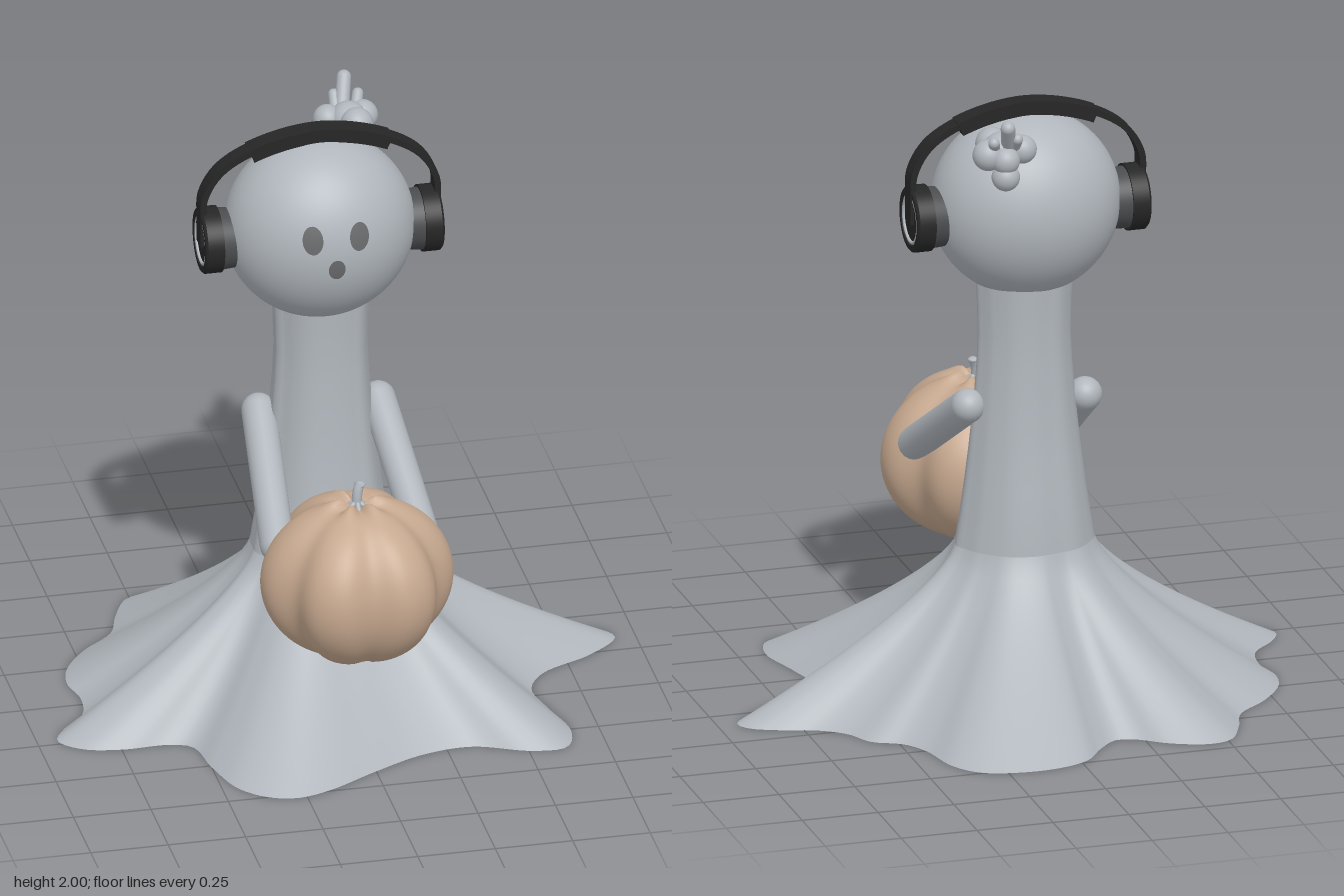
import * as THREE from 'three';

const mat = (name, color, side = THREE.FrontSide) => {
  const m = new THREE.MeshStandardMaterial({ color, side });
  m.name = name;
  return m;
};

// Hem of the skirt as x, z pairs
const HEM = [
  0.935, -0.085, 0.83, 0.015, 0.66, 0.105, 0.60, 0.205, 0.62, 0.33, 0.66, 0.51, 0.62, 0.62, 0.51, 0.62,
  0.33, 0.55, 0.17, 0.57, 0.0, 0.65, -0.17, 0.745, -0.28, 0.775, -0.37, 0.75, -0.45, 0.67, -0.50, 0.51,
  -0.53, 0.36, -0.60, 0.33, -0.75, 0.33, -0.87, 0.30, -0.935, 0.23, -0.90, 0.155, -0.82, 0.07, -0.80, -0.045,
  -0.82, -0.145, -0.80, -0.245, -0.72, -0.36, -0.61, -0.46, -0.57, -0.57, -0.51, -0.68, -0.44, -0.70, -0.32, -0.66,
  -0.22, -0.59, -0.16, -0.58, -0.095, -0.64, -0.02, -0.735, 0.08, -0.775, 0.205, -0.78, 0.33, -0.745, 0.40, -0.66,
  0.44, -0.50, 0.49, -0.42, 0.58, -0.37, 0.63, -0.28, 0.71, -0.22, 0.83, -0.18, 0.915, -0.135,
];

const CX = -0.04; // head axis
const HEAD = { y: 1.62, rx: 0.304, ry: 0.302, rz: 0.262 };

// Closed rings (arrays of Vector3), bottom to top, joined into a skin
function loft(rings) {
  const n = rings[0].length, idx = [];
  for (let r = 0; r < rings.length - 1; r++) {
    for (let i = 0; i < n; i++) {
      const a = r * n + i, b = r * n + (i + 1) % n;
      idx.push(a, a + n, b, b, a + n, b + n);
    }
  }
  const g = new THREE.BufferGeometry().setFromPoints(rings.flat());
  g.setIndex(idx);
  g.computeVertexNormals();
  return g;
}

export function createModel() {
  const group = new THREE.Group();
  const cloth = mat('pale grey', 0xb0b6bc, THREE.DoubleSide);
  const skin = mat('orange tan', 0xc6a88f);
  const black = mat('black', 0x262626);
  const cushionGrey = mat('cushion grey', 0x4a4c4e);
  const faceGrey = mat('face grey', 0x68696b);

  const add = (name, geometry, material, x = 0, y = 0, z = 0, parent = group) => {
    const m = new THREE.Mesh(geometry, material);
    m.name = name;
    m.position.set(x, y, z);
    parent.add(m);
    return m;
  };
  const rod = (name, a, b, r, material, parent = group) => {
    const p = new THREE.Vector3(...a), q = new THREE.Vector3(...b), d = q.clone().sub(p);
    const m = add(name, new THREE.CapsuleGeometry(r, d.length(), 8, 20), material, 0, 0, 0, parent);
    m.position.copy(p).add(q).multiplyScalar(0.5);
    m.quaternion.setFromUnitVectors(new THREE.Vector3(0, 1, 0), d.normalize());
  };

  // Skirt: waist ring flaring out to the wavy hem
  const hemPoints = [];
  for (let i = 0; i < HEM.length; i += 2) hemPoints.push(new THREE.Vector3(HEM[i], 0, HEM[i + 1]));
  const hem = new THREE.CatmullRomCurve3(hemPoints, true).getSpacedPoints(220).slice(0, -1);
  const bodyRing = (y, rx, rz) => hem.map((p) => {
    const a = Math.atan2(p.z, p.x);
    const k = 1 + 0.12 * (Math.hypot(p.x, p.z) / 0.74 - 1);
    return new THREE.Vector3(-0.032 + rx * k * Math.cos(a), y, -0.01 + rz * k * Math.sin(a));
  });
  const waist = bodyRing(0.5, 0.222, 0.192);
  const skirtRings = [];
  for (let j = 0; j <= 16; j++) {
    const y = 0.5 * j / 16, t = Math.pow(1 - j / 16, 1.38);
    skirtRings.push(hem.map((p, i) => {
      const v = waist[i].clone().lerp(p, t);
      v.y = y;
      return v;
    }));
  }
  add('skirt', loft(skirtRings), cloth);

  // Flat underside of the skirt
  const under = new THREE.BufferGeometry().setFromPoints([new THREE.Vector3(), ...hem]);
  under.setIndex(hem.flatMap((_, i) => [0, i + 1, (i + 1) % hem.length + 1]));
  under.computeVertexNormals();
  add('skirtUnderside', under, cloth);

  // Body column up to the neck
  const column = [[0.5, 0.222, 0.192], [0.6, 0.206, 0.183], [0.7, 0.192, 0.169], [0.8, 0.18, 0.155],
    [0.9, 0.169, 0.144], [1, 0.16, 0.136], [1.1, 0.152, 0.129], [1.2, 0.148, 0.125], [1.3, 0.151, 0.126], [1.38, 0.155, 0.128]];
  add('body', loft(column.map((c) => bodyRing(...c))), cloth);

  // Head and face
  add('head', new THREE.SphereGeometry(1, 64, 48), cloth, CX, HEAD.y, 0).scale.set(HEAD.rx, HEAD.ry, HEAD.rz);
  const facePatch = (name, x, y, w, h) => {
    const g = new THREE.RingGeometry(0.001, 1, 28, 4), p = g.attributes.position;
    for (let i = 0; i < p.count; i++) {
      const u = x + p.getX(i) * w, v = y + p.getY(i) * h;
      const s = 1 - (u / HEAD.rx) ** 2 - (v / HEAD.ry) ** 2;
      p.setXYZ(i, u, v, HEAD.rz * Math.sqrt(s) + 0.005);
    }
    g.computeVertexNormals();
    add(name, g, faceGrey, CX, HEAD.y, 0);
  };
  facePatch('rightEye', -0.075, 0.07, 0.032, 0.046);
  facePatch('leftEye', 0.075, 0.07, 0.032, 0.046);
  facePatch('mouth', 0, -0.033, 0.027, 0.034);

  // Arms reaching forward to the pumpkin
  for (const s of [-1, 1]) {
    rod(s < 0 ? 'rightArm' : 'leftArm', [-0.035 + s * 0.193, 0.965, -0.03], [-0.03 + s * 0.232, 0.7, 0.39], 0.055, cloth);
  }

  // Pumpkin: ribbed sphere with dimpled ends
  const pumpkin = new THREE.Group();
  pumpkin.name = 'pumpkin';
  pumpkin.position.set(-0.025, 0.61, 0.48);
  group.add(pumpkin);
  const ribs = new THREE.SphereGeometry(1, 120, 48), rp = ribs.attributes.position;
  for (let i = 0; i < rp.count; i++) {
    const x = rp.getX(i), y = rp.getY(i), z = rp.getZ(i);
    const a = Math.atan2(z, x), h = Math.hypot(x, z);
    const k = 0.312 * (0.93 + 0.07 * Math.cos(6 * a) - 0.012 * Math.cos(12 * a));
    const ridge = 1 + 0.05 * Math.cos(6 * a) * Math.exp(-(((h - 0.2) / 0.15) ** 2));
    const dimple = 1 - 0.12 * Math.exp(-((h / 0.12) ** 2));
    rp.setXYZ(i, x * k, y * 0.272 * ridge * dimple, z * k);
  }
  ribs.computeVertexNormals();
  add('pumpkinShell', ribs, skin, 0, 0, 0, pumpkin);

  // Stem with flared roots
  const stem = new THREE.CatmullRomCurve3([[0, 0.22, 0], [0, 0.27, 0], [0.004, 0.3, -0.004], [0.012, 0.322, -0.01]]
    .map((p) => new THREE.Vector3(...p)));
  add('stem', new THREE.TubeGeometry(stem, 12, 0.016, 10), cloth, 0, 0, 0, pumpkin);
  add('stemTip', new THREE.SphereGeometry(0.018, 12, 8), cloth, 0.012, 0.318, -0.01, pumpkin).scale.y = 0.5;
  for (let i = 0; i < 6; i++) {
    const a = (i + 0.5) * Math.PI / 3;
    rod('stemRoot', [0, 0.27, 0], [0.036 * Math.cos(a), 0.242, 0.036 * Math.sin(a)], 0.008, cloth, pumpkin);
  }

  // Headphones
  const phones = new THREE.Group();
  phones.name = 'headphones';
  phones.position.set(CX, 0, -0.005);
  group.add(phones);

  const bandCurve = new THREE.CatmullRomCurve3([
    [-0.378, 1.59], [-0.378, 1.68], [-0.374, 1.755], [-0.322, 1.842], [-0.2, 1.912], [0, 1.95],
    [0.2, 1.912], [0.322, 1.842], [0.374, 1.755], [0.378, 1.68], [0.378, 1.59],
  ].map(([x, y]) => new THREE.Vector3(x, y, 0)));
  const strip = (name, t0, t1, outer, inner, width) => {
    const top = [], low = [];
    for (let i = 0; i <= 60; i++) {
      const t = t0 + (t1 - t0) * i / 60, p = bandCurve.getPointAt(t), d = bandCurve.getTangentAt(t);
      top.push(new THREE.Vector2(p.x - d.y * outer, p.y + d.x * outer));
      low.unshift(new THREE.Vector2(p.x + d.y * inner, p.y - d.x * inner));
    }
    const g = new THREE.ExtrudeGeometry(new THREE.Shape([...top, ...low]), { depth: width, bevelEnabled: false });
    add(name, g, black, 0, 0, -width / 2, phones);
  };
  strip('headband', 0, 1, 0.01, 0.01, 0.06);
  strip('headbandPad', 0.31, 0.69, 0.013, 0.032, 0.066);

  for (const s of [-1, 1]) {
    const cup = new THREE.Group();
    cup.name = s < 0 ? 'rightEarCup' : 'leftEarCup';
    cup.position.set(0, 1.6, 0);
    cup.rotation.z = -s * Math.PI / 2; // local +y points outward
    phones.add(cup);
    const shell = [[0, 0.325], [0.107, 0.325], [0.107, 0.378], [0.1, 0.385], [0.085, 0.385], [0.08, 0.376], [0, 0.376]];
    for (let i = 0; i < shell.length - 1; i++) {
      const pts = [shell[i], shell[i + 1]].map((p) => new THREE.Vector2(...p));
      add('cupShell', new THREE.LatheGeometry(pts, 48), black, 0, 0, 0, cup);
    }
    add('cupCushion', new THREE.CylinderGeometry(0.1, 0.095, 0.06, 48), cushionGrey, 0, 0.302, 0, cup);
    const ring = add('cupRing', new THREE.TorusGeometry(0.076, 0.006, 8, 48), cloth, 0, 0.378, 0, cup);
    ring.rotation.x = Math.PI / 2;
  }

  // Knot of small balls and twigs on the back of the head
  const knot = new THREE.Group();
  knot.name = 'headKnot';
  group.add(knot);
  for (const [x, y, z, r] of [
    [0.1, 1.87, -0.2, 0.062], [0.035, 1.875, -0.215, 0.046], [0.15, 1.87, -0.225, 0.05],
    [0.115, 1.88, -0.15, 0.053], [0.1, 1.8, -0.25, 0.045], [0.1, 1.855, -0.25, 0.045],
  ]) add('knotBall', new THREE.SphereGeometry(r, 24, 16), cloth, x, y, z, knot);
  rod('longTwig', [0.085, 1.89, -0.23], [0.105, 1.977, -0.29], 0.023, cloth, knot);
  rod('shortTwig', [0.065, 1.89, -0.23], [0.068, 1.93, -0.27], 0.018, cloth, knot);
  rod('shortTwig', [0.13, 1.89, -0.23], [0.145, 1.925, -0.27], 0.018, cloth, knot);

  return group;
}
